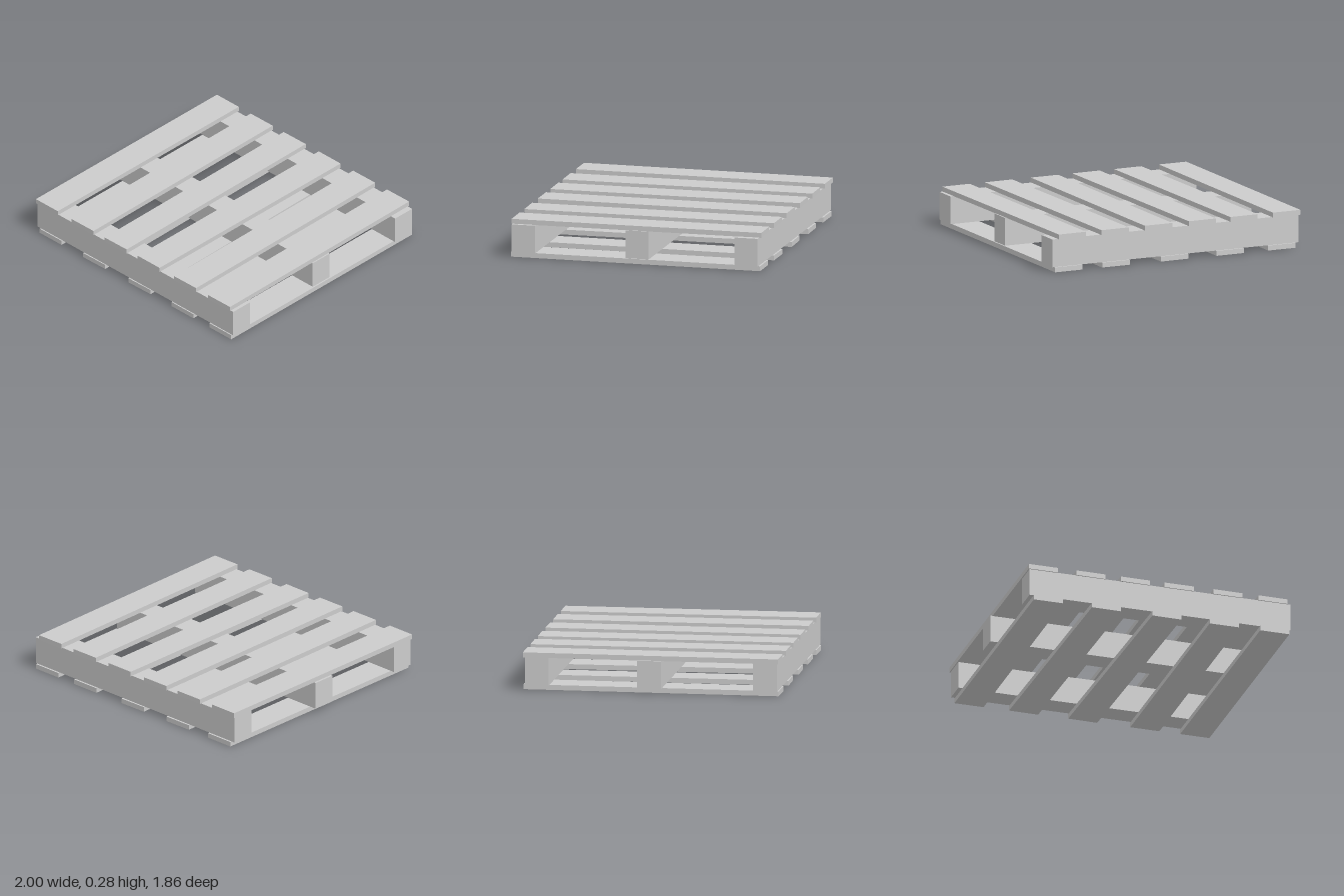
import * as THREE from 'three';

const material = new THREE.MeshStandardMaterial({ color: 0xcccccc, flatShading: true });

function addBoard(parent, name, size, position, yaw = 0) {
  const mesh = new THREE.Mesh(new THREE.BoxGeometry(...size), material);
  mesh.name = name;
  mesh.position.set(...position);
  mesh.rotation.y = yaw;
  parent.add(mesh);
}

// Lays a row of slats; each entry is [centre x, sideways drift from back to front]
function addSlats(parent, name, y, slats) {
  const row = new THREE.Group();
  row.name = name;
  slats.forEach(([x, drift], i) =>
    addBoard(row, `${name}${i + 1}`, [0.22, 0.036, 1.855], [x, y, 0], Math.atan(drift / 1.855)));
  parent.add(row);
}

export function createModel() {
  const pallet = new THREE.Group();
  pallet.name = 'pallet';

  // Three stringers running side to side, the middle one slightly shifted
  const stringers = [['frontStringer', 0.01, 0.832], ['middleStringer', -0.015, -0.008], ['backStringer', 0.01, -0.827]];
  for (const [name, x, z] of stringers) {
    addBoard(pallet, name, [1.97, 0.204, 0.174], [x, 0.138, z]);
  }

  // Deck slats on top, some nailed slightly askew
  addSlats(pallet, 'topSlat', 0.257, [
    [-0.873, 0], [-0.523, 0.018], [-0.19, 0.02], [0.152, 0], [0.509, 0.02], [0.85, 0.02],
  ]);

  // Runner slats underneath
  addSlats(pallet, 'bottomSlat', 0.018, [
    [-0.835, 0], [-0.41, 0.026], [0.041, 0.036], [0.492, 0], [0.871, 0.004],
  ]);

  return pallet;
}
